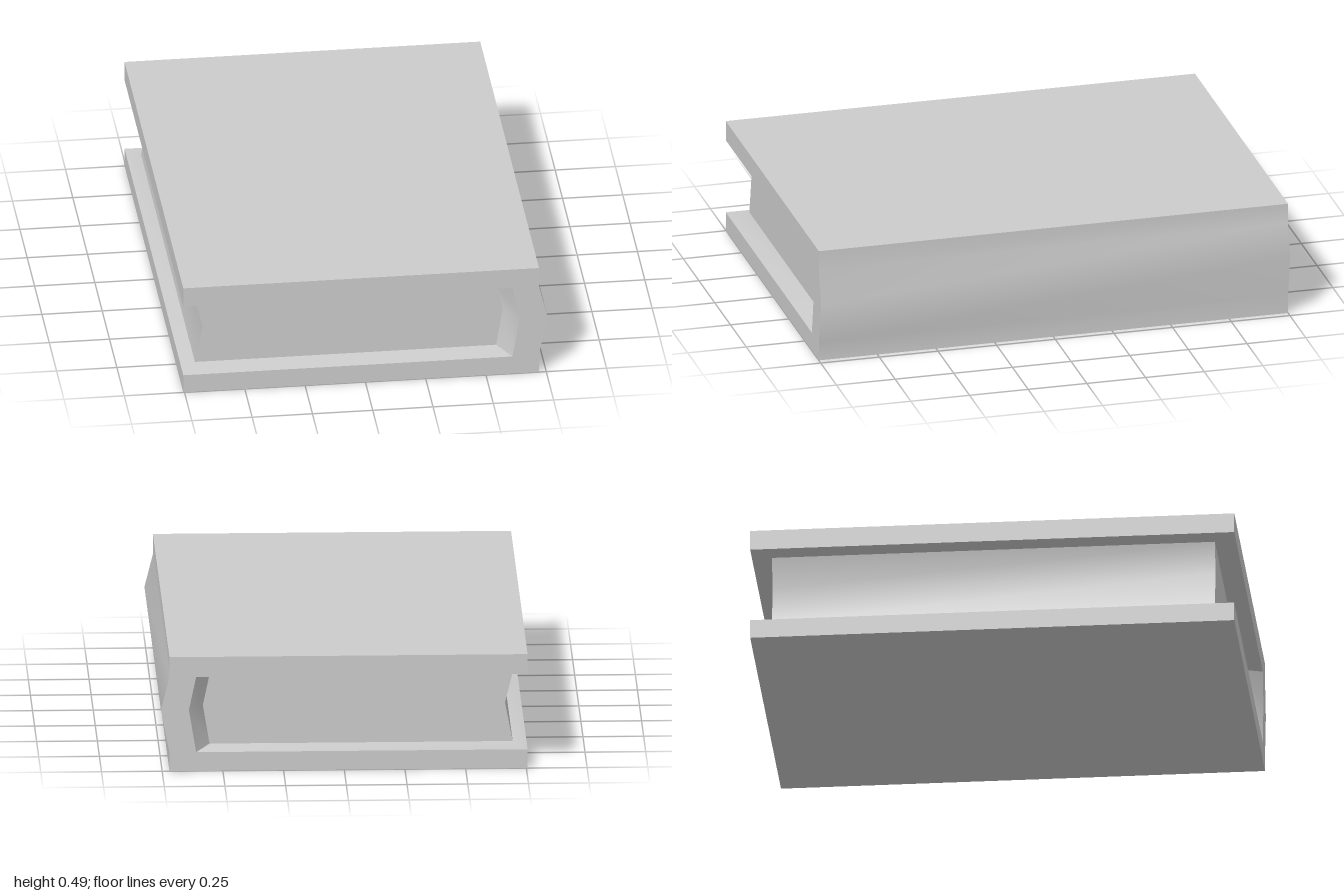
import * as THREE from 'three';
import { toCreasedNormals } from 'three/addons/utils/BufferGeometryUtils.js';

const CREASE = 0.55; // keeps corners sharp, softens the spine and fore edge

// Mouth of the cover, from lower fore edge round the spine to upper fore edge
const MOUTH = [[-0.755, 0.08], [0.61, 0.08], [0.64, 0.26], [0.61, 0.4], [-0.755, 0.4]];
const CENTRE = new THREE.Vector3(-0.07, 0.24, 0);
const INSET = 0.915;

const shrink = (p) => p.clone().sub(CENTRE).multiplyScalar(INSET).add(CENTRE);

// Extrudes an outline along z, centred on z = 0
function prism(points, length) {
  const shape = new THREE.Shape(points.map(([x, y]) => new THREE.Vector2(x, y)));
  const geometry = new THREE.ExtrudeGeometry(shape, { depth: length, bevelEnabled: false });
  geometry.translate(0, 0, -length / 2);
  return geometry;
}

// Closed band joining the cover's mouth to the smaller outline of the pages
function bandGeometry() {
  const front = MOUTH.map(([x, y]) => new THREE.Vector3(x, y, 1));
  const back = MOUTH.map(([x, y]) => new THREE.Vector3(x, y, -1)).reverse();
  const outer = [...front, ...back];
  const inner = outer.map(shrink);
  const corners = [];
  outer.forEach((p, i) => {
    const j = (i + 1) % outer.length;
    corners.push(p, outer[j], inner[j], p, inner[j], inner[i]);
  });
  return new THREE.BufferGeometry().setFromPoints(corners);
}

export function createModel() {
  const book = new THREE.Group();
  book.name = 'book';
  const material = new THREE.MeshStandardMaterial({ color: 0xcccccc });

  const add = (name, geometry) => {
    const mesh = new THREE.Mesh(toCreasedNormals(geometry, CREASE), material);
    mesh.name = name;
    book.add(mesh);
  };

  // Two boards joined by a pointed spine
  add('cover', prism([
    [-0.755, 0], [0.72, 0], [0.72, 0.08], [0.755, 0.26], [0.72, 0.4], [0.72, 0.485], [-0.755, 0.485],
    ...[...MOUTH].reverse(),
  ], 2));

  // Sloping inner faces of the cover
  add('coverLining', bandGeometry());

  // Page block with a hollow fore edge
  const pages = MOUTH.map(([x, y]) => {
    const p = shrink(new THREE.Vector3(x, y, 0));
    return [p.x, p.y];
  });
  add('pages', prism([...pages, [-0.665, 0.258]], 2 * INSET));

  return book;
}
